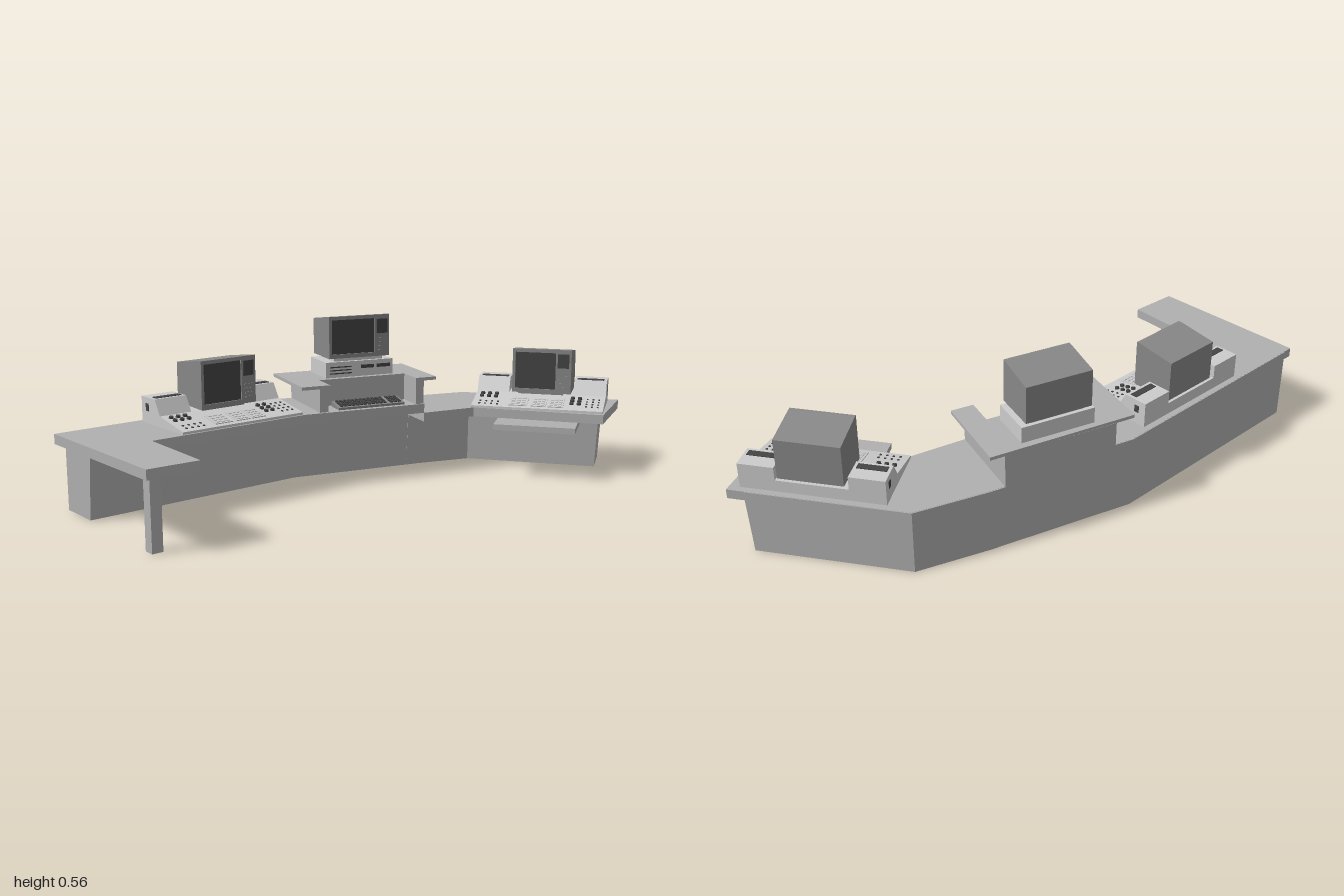
import * as THREE from 'three';

const paint = color => new THREE.MeshStandardMaterial({ color, flatShading: true });
const deskGrey = paint(0xb0b0b0);
const grey = paint(0xbcbcbc);
const caseGrey = paint(0x888888);
const dark = paint(0x444444);

function add(parent, name, geo, x = 0, y = 0, z = 0, mat = grey) {
  const m = new THREE.Mesh(geo, mat);
  m.name = name;
  m.position.set(x, y, z);
  parent.add(m);
  return m;
}
const box = (parent, name, w, h, d, x, y, z, mat) =>
  add(parent, name, new THREE.BoxGeometry(w, h, d), x, y, z, mat);

function group(parent, name, x = 0, y = 0, z = 0, turn = 0) {
  const g = new THREE.Group();
  g.name = name;
  g.position.set(x, y, z);
  g.rotation.y = turn;
  parent.add(g);
  return g;
}

const shapeOf = pts => new THREE.Shape(pts.map(p => new THREE.Vector2(...p)));

// Upright prism over an [x, z] outline
const prism = (outline, y0, y1) =>
  new THREE.ExtrudeGeometry(shapeOf(outline.map(([x, z]) => [x, -z])), { depth: y1 - y0, bevelEnabled: false })
    .rotateX(-Math.PI / 2).translate(0, y0, 0);

// Side profile of [z, y] points, swept along x and centred
const sweep = (profile, width) =>
  new THREE.ExtrudeGeometry(shapeOf(profile.map(([z, y]) => [-z, y])), { depth: width, bevelEnabled: false })
    .rotateY(Math.PI / 2).translate(-width / 2, 0, 0);

// Desk body: stations [backX, backZ, towardFrontX, towardFrontZ, lean] with a front that slopes in at the floor
function deskBody(stations, height) {
  const rings = stations.map(([x, z, nx, nz, lean = 0]) => {
    const at = (depth, y, s) => [x + nx * depth - 0.78 * s, y, z + nz * depth - 0.625 * s];
    return [at(0, 0, lean), at(0.145, 0, lean), at(0.165, height, 0), at(0, height, 0)];
  });
  const pos = [];
  const quad = (a, b, c, d) => pos.push(...a, ...b, ...c, ...a, ...c, ...d);
  for (let i = 0; i + 1 < rings.length; i++) for (let k = 0; k < 4; k++)
    quad(rings[i][k], rings[i + 1][k], rings[i + 1][(k + 1) % 4], rings[i][(k + 1) % 4]);
  quad(...rings[0]);
  quad(...[...rings.at(-1)].reverse());
  const g = new THREE.BufferGeometry();
  g.setAttribute('position', new THREE.Float32BufferAttribute(pos, 3));
  g.computeVertexNormals();
  return g;
}

// Monitor: sloping case, framed screen on the left, control column on the right
function monitor(parent, x, y, z, w, h) {
  const g = group(parent, 'monitor', x, y, z);
  add(g, 'monitorCase', sweep([[0.062, 0], [0.062, h], [-0.075, h - 0.02], [-0.075, 0]], w), 0, 0, 0, caseGrey);
  const frame = shapeOf([[-w / 2, 0], [w / 2, 0], [w / 2, h], [-w / 2, h]]);
  const x0 = -w / 2 + 0.01, x1 = w / 2 - 0.055;
  frame.holes.push(shapeOf([[x0, 0.014], [x0, h - 0.012], [x1, h - 0.012], [x1, 0.014]]));
  add(g, 'monitorFrame', new THREE.ExtrudeGeometry(frame, { depth: 0.01, bevelEnabled: false }), 0, 0, 0.062, caseGrey);
  box(g, 'screen', x1 - x0, h - 0.026, 0.004, (x0 + x1) / 2, h / 2 + 0.001, 0.065, dark);
  const cx = w / 2 - 0.028;
  box(g, 'controlPanel', 0.04, 0.05, 0.003, cx, h - 0.04, 0.073, dark);
  for (let i = 0; i < 4; i++) box(g, 'monitorButton', 0.03, 0.006, 0.003, cx, 0.02 + i * 0.014, 0.073, caseGrey);
}

// Grid of small blocks
function keys(parent, name, cols, rows, w, d, x, y, z, mat, fill = 0.72) {
  for (let i = 0; i < cols; i++) for (let j = 0; j < rows; j++)
    box(parent, name, w / cols * fill, 0.004, d / rows * fill,
      x + ((i + 0.5) / cols - 0.5) * w, y, z + ((j + 0.5) / rows - 0.5) * d, mat);
}

// Grid of round knobs
function knobs(parent, cols, rows, x, z) {
  for (let i = 0; i < cols; i++) for (let j = 0; j < rows; j++)
    add(parent, 'knob', new THREE.CylinderGeometry(0.007, 0.008, 0.008, 12),
      x + i * 0.025, 0.003, z + j * 0.025, dark);
}

// Control console with a sloping panel, two raised end boxes and a monitor
function controlConsole(parent, x, y, z, turn) {
  const g = group(parent, 'controlConsole', x, y, z, turn);
  add(g, 'consoleBase', sweep([[0.125, 0], [0.125, 0.008], [-0.01, 0.035], [-0.125, 0.04], [-0.125, 0]], 0.46));
  for (const s of [-1, 1]) {
    add(g, 'endBox', sweep([[-0.01, 0.03], [-0.042, 0.085], [-0.125, 0.085], [-0.125, 0.03]], 0.115), s * 0.1725);
    box(g, 'topSlot', 0.095, 0.003, 0.024, s * 0.172, 0.0855, -0.065, dark);
    box(g, 'sideSocket', 0.002, 0.025, 0.018, s * 0.23, 0.053, -0.09, dark);
  }
  const panel = group(g, 'slopingPanel', 0, 0.0215, 0.0575);
  panel.rotation.x = Math.atan2(0.027, 0.135);
  knobs(panel, 3, 2, -0.205, -0.045);
  knobs(panel, 2, 3, 0.118, -0.035);
  keys(panel, 'panelButton', 4, 2, 0.085, 0.045, -0.172, 0.0005, 0.035, dark, 0.3);
  keys(panel, 'panelButton', 3, 4, 0.06, 0.09, 0.19, 0.0005, 0, dark, 0.3);
  for (const [px, w] of [[-0.068, 0.065], [0.005, 0.052], [0.065, 0.052]]) {
    box(panel, 'padFrame', w, 0.004, 0.075, px, 0.001, 0.015);
    keys(panel, 'padKey', 3, 4, w * 0.85, 0.065, px, 0.003, 0.015);
  }
  box(g, 'monitorFoot', 0.16, 0.012, 0.1, 0, 0.041, -0.05, caseGrey);
  monitor(g, 0.005, 0.045, -0.045, 0.208, 0.157);
}

export function createModel() {
  const root = new THREE.Group();
  root.name = 'controlDesk';

  // Shallow desk bodies, set back under the overhanging tops
  add(root, 'leftDeskBody', deskBody([[-0.965, -0.16, 0.28, 0.96], [-0.2, -0.385, 0.143, 1],
    [0.25, -0.389, 0, 1]], 0.2515), 0, 0, 0, deskGrey);
  add(root, 'rightDeskBody', deskBody([[0.25, -0.389, 0, 1], [0.3, -0.39, -0.02, 1],
    [0.55, -0.38, -0.37, 0.986], [0.957, -0.054, -0.625, 0.78, 0.0125]], 0.2195), 0, 0, 0, deskGrey);

  // Desk tops
  add(root, 'leftDeskTop', prism([[-1, -0.147], [-0.2, -0.382], [0.25, -0.386], [0.25, -0.1],
    [-0.195, -0.095], [-0.745, 0.065], [-0.675, 0.35], [-0.84, 0.39]], 0.22, 0.252), 0, 0, 0, deskGrey);
  add(root, 'rightDeskTop', prism([[0.25, -0.386], [0.3, -0.387], [0.549, -0.377], [0.999, -0.018],
    [0.795, 0.185], [0.45, -0.11], [0.25, -0.1]], 0.188, 0.22), 0, 0, 0, deskGrey);
  box(root, 'tableLeg', 0.036, 0.22, 0.036, -0.815, 0.11, 0.347, deskGrey).rotation.y = 0.28;
  const tray = group(root, 'pullOutTray', 0.61, 0.178, 0.055, -0.675);
  box(tray, 'trayBoard', 0.28, 0.02, 0.16, 0, 0, 0, deskGrey);

  // Raised middle shelf around the keyboard bay
  add(root, 'riserBack', prism([[-0.135, -0.3865], [0.25, -0.389], [0.25, -0.2], [-0.135, -0.2]], 0.25, 0.334),
    0, 0, 0, deskGrey);
  for (const x of [-0.12, 0.235]) box(root, 'riserSide', 0.03, 0.083, 0.095, x, 0.293, -0.153, deskGrey);
  add(root, 'riserShelf', prism([[-0.2, -0.385], [0.3, -0.39], [0.297, -0.105], [0.22, -0.105],
    [0.22, -0.2], [-0.1, -0.2], [-0.1, -0.1], [-0.2, -0.1]], 0.333, 0.344), 0, 0, 0, deskGrey);

  // Keyboard
  const kb = group(root, 'keyboard', 0.06, 0.252, -0.15);
  add(kb, 'keyboardBase', sweep([[0.033, 0], [0.033, 0.008], [-0.033, 0.02], [-0.033, 0]], 0.245), 0, 0, 0, caseGrey);
  const deck = group(kb, 'keyDeck', 0, 0.015, 0);
  deck.rotation.x = 0.18;
  keys(deck, 'key', 12, 4, 0.175, 0.056, -0.028, 0.001, 0, dark);
  keys(deck, 'key', 3, 4, 0.045, 0.056, 0.092, 0.001, 0, dark);

  // Desktop computer and its monitor
  const pc = group(root, 'computer', 0.058, 0.344, -0.293);
  box(pc, 'computerCase', 0.25, 0.054, 0.145, 0, 0.027, 0);
  for (let i = 0; i < 3; i++) box(pc, 'vent', 0.08, 0.004, 0.003, -0.07, 0.014 + i * 0.011, 0.072, dark);
  for (const x of [0.03, 0.09]) box(pc, 'driveSlot', 0.05, 0.012, 0.003, x, 0.033, 0.072, dark);
  box(pc, 'monitorStand', 0.18, 0.014, 0.12, 0, 0.061, 0);
  monitor(pc, 0, 0.066, 0, 0.225, 0.145);

  // Side consoles
  controlConsole(root, -0.453, 0.252, -0.157, 0.283);
  controlConsole(root, 0.7, 0.22, -0.07, -0.675);
  return root;
}
